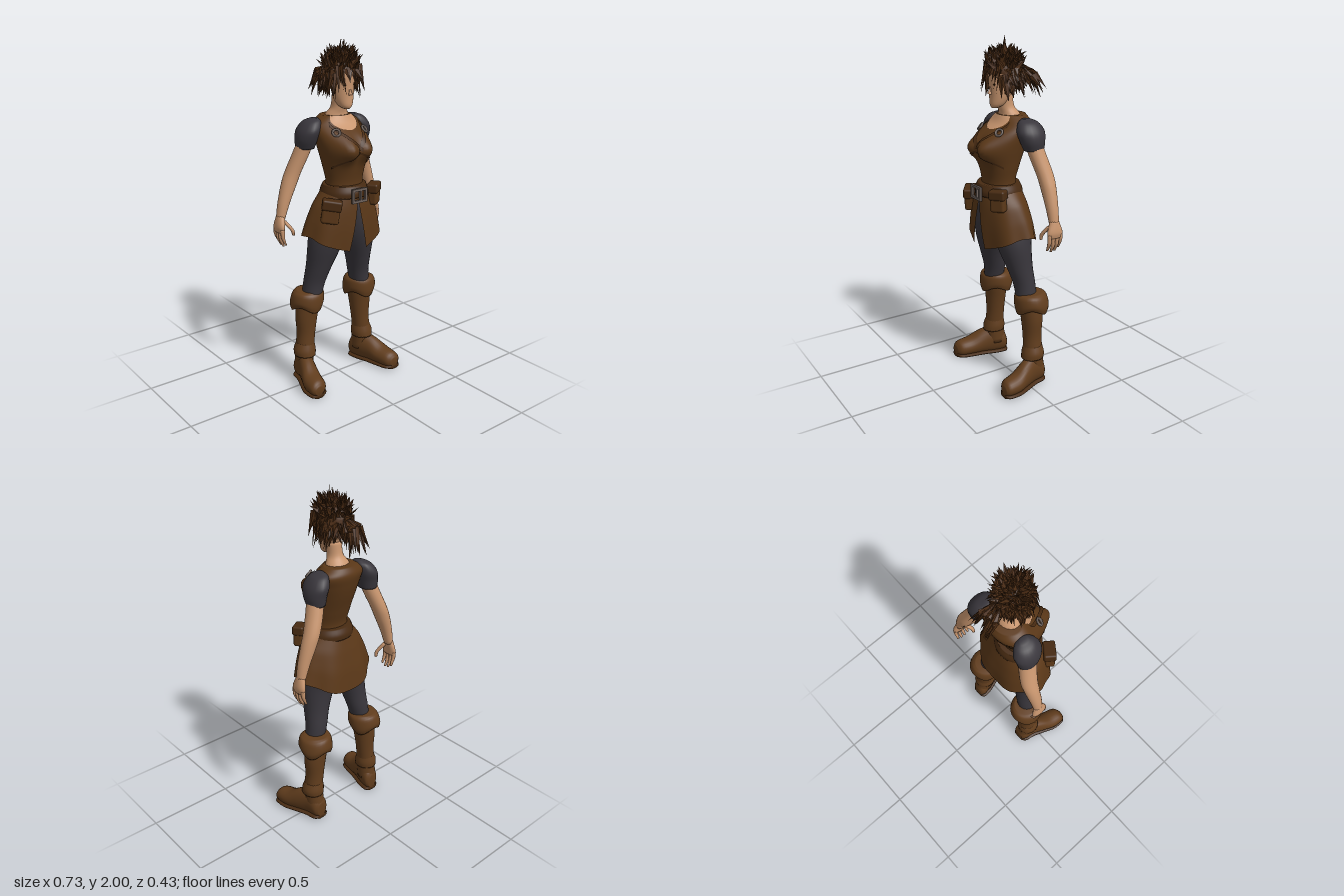
import * as THREE from 'three';
import { mergeGeometries } from 'three/addons/utils/BufferGeometryUtils.js';
import { RoundedBoxGeometry } from 'three/addons/geometries/RoundedBoxGeometry.js';

const V = (x, y, z) => new THREE.Vector3(x, y, z);
const material = (name, color, side = THREE.FrontSide) => {
  const m = new THREE.MeshStandardMaterial({ color, side });
  m.name = name;
  return m;
};

// Grid surface from a rule (u, v) -> point; closed wraps u, caps fill both ends
function surface(fn, nu, nv, closed = false, caps = false) {
  const pos = [], idx = [], cols = closed ? nu : nu + 1;
  for (let i = 0; i <= nv; i++)
    for (let j = 0; j < cols; j++) pos.push(...fn(j / nu, i / nv).toArray());
  for (let i = 0; i < nv; i++)
    for (let j = 0; j < nu; j++) {
      const k = (j + 1) % cols, a = i * cols + j, b = i * cols + k;
      idx.push(a, a + cols, b, b, a + cols, b + cols);
    }
  if (caps) for (const end of [0, nv]) {
    const mid = V(0, 0, 0), c = pos.length / 3;
    for (let j = 0; j < cols; j++) mid.add(fn(j / nu, end / nv));
    pos.push(...mid.divideScalar(cols).toArray());
    for (let j = 0; j < cols; j++) {
      const a = end * cols + j, b = end * cols + (j + 1) % cols;
      idx.push(...(end ? [c, b, a] : [c, a, b]));
    }
  }
  const g = new THREE.BufferGeometry();
  g.setAttribute('position', new THREE.Float32BufferAttribute(pos, 3));
  g.setIndex(idx);
  g.computeVertexNormals();
  return g;
}

// Smooth rule through elliptical sections [cx, cy, cz, rx, rDepth]
function sectionRule(sections, side = 1, alongZ = false) {
  const mid = new THREE.CatmullRomCurve3(sections.map(s => V(s[0] * side, s[1], s[2])), false, 'catmullrom', 0.5);
  const rad = new THREE.CatmullRomCurve3(sections.map(s => V(s[3], s[4], 0)), false, 'catmullrom', 0.5);
  return (u, v) => {
    const p = mid.getPoint(v), r = rad.getPoint(v), a = u * Math.PI * 2;
    p.x += r.x * Math.cos(a);
    if (alongZ) p.y = Math.max(0, p.y + r.y * Math.sin(a));
    else p.z += r.y * Math.sin(a);
    return p;
  };
}
const loft = (sections, side = 1, nu = 20, alongZ = false) =>
  surface(sectionRule(sections, side, alongZ), nu, sections.length * 4, true, true);

export function createModel() {
  const model = new THREE.Group();
  const leather = material('leather', 0x5b3818, THREE.DoubleSide);
  const darkLeather = material('dark leather', 0x482b12, THREE.DoubleSide);
  const bootLeather = material('boot leather', 0x613d1d);
  const cloth = material('dark cloth', 0x39363c);
  const skin = material('skin', 0xc9966f, THREE.DoubleSide);
  const hair = material('hair', 0x4a2b13);
  const metal = material('metal', 0x6e625c);
  const add = (name, geo, mat, parent = model) => {
    const m = new THREE.Mesh(geo, mat);
    m.name = name;
    parent.add(m);
    return m;
  };

  // Vest body with a shaped chest
  const body = sectionRule([
    [0, 1.1, 0.045, 0.13, 0.115], [0, 1.2, 0.05, 0.11, 0.09], [0, 1.3, 0.045, 0.125, 0.11],
    [0, 1.4, 0.035, 0.145, 0.135], [0, 1.47, 0.01, 0.155, 0.13], [0, 1.53, -0.03, 0.15, 0.1],
    [0, 1.575, -0.035, 0.09, 0.075]]);
  const torso = (u, v) => {
    const p = body(u, v);
    if (p.z > 0.04) p.z += 0.055 *
      Math.exp(-(((Math.abs(p.x) - 0.065) / 0.055) ** 2) - ((p.y - 1.4) / 0.065) ** 2);
    return p;
  };
  add('vest', surface(torso, 48, 40, true, true), leather);
  // Point on the vest at an angle from the front and a height, pushed outward
  const onTorso = (angle, y, off) => {
    const u = 0.25 - angle / (Math.PI * 2);
    let lo = 0, hi = 1;
    for (let i = 0; i < 22; i++) {
      const m = (lo + hi) / 2;
      if (body(0, m).y < y) lo = m; else hi = m;
    }
    const p = torso(u, lo);
    return p.add(V(Math.sin(angle), 0.3, Math.cos(angle)).multiplyScalar(off));
  };
  add('neckline', surface((u, v) => onTorso((0.5 - u) * 1.7 * Math.sqrt(v), 1.5 + 0.074 * v, 0.005), 16, 10), skin);
  const strap = (a0, y0, a1, y1, w) => surface((u, v) =>
    onTorso(a0 + (a1 - a0) * v, y0 + (y1 - y0) * v + (u - 0.5) * w, 0.007), 2, 14);
  for (const s of [-1, 1]) {
    add('chestStrap', strap(s * 0.75, 1.535, -s * 0.1, 1.4, 0.026), darkLeather);
    add('vestSeam', strap(0, 1.385, s * 1.2, 1.3, 0.012), darkLeather);
    const ring = add('strapBuckle', new THREE.TorusGeometry(0.02, 0.007, 6, 16), metal);
    ring.position.copy(onTorso(s * 0.62, 1.495, 0.012));
    ring.rotation.set(-0.7, s * 0.4, 0);
  }

  // Split skirt: opens at the front and dips at the front and back
  const skirtRings = new THREE.CatmullRomCurve3([
    V(0.122, 0.118, 0.05), V(0.19, 0.14, 0.04), V(0.225, 0.155, 0.03), V(0.25, 0.162, 0.022)]);
  add('skirt', surface((u, v) => {
    const gap = 0.02 + 0.27 * Math.max(0, v - 0.2);
    const a = gap + u * (Math.PI * 2 - 2 * gap), r = skirtRings.getPoint(v);
    const fold = 1 + 0.035 * v * Math.cos(a * 7);
    const hem = 0.83 + 0.09 * Math.sin(a) ** 2;
    return V(Math.sin(a) * r.x * fold, 1.18 + (hem - 1.18) * v, r.z + Math.cos(a) * r.y * fold);
  }, 72, 16), leather);

  // Belt, buckle and pouches
  add('belt', loft([[0, 1.135, 0.05, 0.143, 0.132], [0, 1.165, 0.05, 0.138, 0.131],
    [0, 1.2, 0.05, 0.124, 0.115]], 1, 36), darkLeather);
  for (const [w, h, x, y] of [[0.1, 0.014, 0, 0.033], [0.1, 0.014, 0, -0.033], [0.014, 0.08, 0.044, 0],
    [0.014, 0.08, -0.044, 0], [0.01, 0.06, 0.008, 0]])
    add('beltBuckle', new THREE.BoxGeometry(w, h, 0.014), metal).position.set(x - 0.005, 1.152 + y, 0.192);
  const pouch = (x, y, z, w, h, d, turn, lean) => {
    const g = new THREE.Group();
    g.name = 'pouch';
    add('pouchBody', new RoundedBoxGeometry(w, h, d, 3, 0.015), leather, g);
    add('pouchFlap', new RoundedBoxGeometry(w + 0.01, h * 0.45, d + 0.012, 3, 0.012), darkLeather, g)
      .position.y = h * 0.3;
    g.position.set(x, y, z);
    g.rotation.set(0, turn, lean);
    model.add(g);
  };
  pouch(-0.162, 1.075, 0.14, 0.1, 0.13, 0.06, -0.65, -0.15);
  pouch(0.143, 1.13, 0.14, 0.085, 0.12, 0.055, 0.6, 0.05);

  // Neck and head
  add('neck', loft([[0, 1.53, -0.025, 0.095, 0.07], [0, 1.58, -0.018, 0.066, 0.056],
    [0, 1.62, 0, 0.044, 0.046], [0, 1.69, 0.012, 0.043, 0.046]]), skin);
  add('head', loft([[0, 1.615, 0.07, 0.018, 0.02], [0, 1.635, 0.055, 0.04, 0.043], [0, 1.68, 0.04, 0.056, 0.058],
    [0, 1.74, 0.03, 0.063, 0.07], [0, 1.82, 0.02, 0.068, 0.08], [0, 1.89, 0.015, 0.04, 0.05]], 1, 28), skin);
  const nose = add('nose', new THREE.ConeGeometry(0.014, 0.05, 5), skin);
  nose.position.set(0, 1.715, 0.1);
  nose.rotation.x = -0.2;
  for (const s of [-1, 1]) {
    const eye = add('eye', new THREE.SphereGeometry(0.011, 10, 6), darkLeather);
    eye.scale.set(1, 0.4, 0.35);
    eye.position.set(s * 0.027, 1.744, 0.092);
  }

  // Spiky hair
  let seed = 7;
  const rnd = () => (seed = (seed * 16807) % 2147483647) / 2147483647;
  const jit = a => (rnd() - 0.5) * 2 * a;
  const spikes = [];
  const spike = (from, to, r) => {
    const d = to.clone().sub(from), len = d.length();
    const g = new THREE.ConeGeometry(r, len, 4).translate(0, len / 2, 0).scale(1, 1, 0.4).rotateY(rnd() * 6);
    g.applyQuaternion(new THREE.Quaternion().setFromUnitVectors(V(0, 1, 0), d.normalize()));
    spikes.push(g.translate(from.x, from.y, from.z));
  };
  for (let i = 0; i < 330; i++) {
    const y = 1 - 1.55 * (i + 0.5) / 330, r = Math.sqrt(1 - y * y), a = i * 2.39996;
    const n = V(Math.cos(a) * r, y, Math.sin(a) * r);
    if (n.z > 0.3 && y < 0.2) continue;
    const p = V(n.x * 0.084, 1.8 + n.y * 0.1, 0.012 + n.z * 0.094);
    const d = V(n.x * 0.45 + jit(0.4), y > 0.3 ? 0.7 + jit(0.4) : -1, n.z * 0.45 + jit(0.4));
    spike(p, p.clone().addScaledVector(d.normalize(), 0.045 + rnd() * 0.035), 0.014 + rnd() * 0.01);
  }
  // Side locks, fringe, top tuft and ponytail
  for (let i = 0; i < 12; i++) for (const s of [-1, 1]) {
    const z = 0.08 - i * 0.011;
    spike(V(s * 0.075, 1.8 + jit(0.03), z), V(s * (0.095 + jit(0.025)), 1.68 + jit(0.025), z + jit(0.02)), 0.02);
  }
  for (let i = 0; i < 9; i++) {
    const x = (i - 4) * 0.018;
    spike(V(x, 1.85, 0.085), V(x * 1.3 + jit(0.01), 1.79 - Math.abs(x) * 1.2, 0.115 + jit(0.015)), 0.018);
  }
  spike(V(-0.045, 1.82, 0.095), V(-0.03, 1.68, 0.11), 0.014);
  for (let i = 0; i < 6; i++)
    spike(V(jit(0.025), 1.88, 0.02 + jit(0.025)), V(0.01 + jit(0.012), i ? 1.94 + rnd() * 0.05 : 2, 0.02 + jit(0.015)), 0.018);
  for (let i = 0; i < 18; i++) {
    const x = jit(0.07), knot = V(x * 0.3, 1.83 + jit(0.02), -0.085);
    const bend = V(x * 0.7, 1.79 + jit(0.02), -0.15 + jit(0.015));
    spike(bend, knot, 0.016);
    spike(bend, V(x + 0.015, 1.68 + jit(0.03), -0.2 + jit(0.02)), 0.017);
  }
  const spikyHair = mergeGeometries(spikes).toNonIndexed();
  spikyHair.computeVertexNormals();
  add('hairLocks', spikyHair, hair);
  const cap = add('hairCap', new THREE.SphereGeometry(1, 20, 12, 0, Math.PI * 2, 0, Math.PI * 0.55), hair);
  cap.scale.set(0.088, 0.104, 0.1);
  cap.position.set(0, 1.8, 0.008);
  cap.rotation.x = -0.3;

  // Arms, hands, legs and boots on both sides
  for (const s of [-1, 1]) {
    add('sleeve', loft([[0.187, 1.4, -0.06, 0.05, 0.058], [0.185, 1.45, -0.052, 0.059, 0.073],
      [0.173, 1.5, -0.048, 0.06, 0.082], [0.152, 1.545, -0.045, 0.046, 0.06], [0.135, 1.565, -0.04, 0.015, 0.025]], s), cloth);
    add('arm', loft([[0.332, 1.01, -0.1, 0.025, 0.028], [0.308, 1.1, -0.1, 0.035, 0.035], [0.272, 1.2, -0.1, 0.045, 0.043],
      [0.245, 1.27, -0.095, 0.046, 0.048], [0.21, 1.36, -0.075, 0.047, 0.05], [0.185, 1.44, -0.055, 0.045, 0.05]], s), skin);
    add('palm', loft([[0.343, 0.935, -0.098, 0.015, 0.044], [0.343, 0.97, -0.098, 0.021, 0.048],
      [0.332, 1.03, -0.1, 0.022, 0.027]], s, 14), skin);
    for (let f = 0; f < 4; f++) {
      const z = -0.062 - f * 0.024, tip = 0.85 + [0.012, 0, 0.004, 0.02][f];
      add('finger', loft([[0.325, tip, z, 0.006, 0.007], [0.343, tip + 0.045, z, 0.011, 0.011],
        [0.345, 0.955, z, 0.013, 0.012]], s, 8), skin);
    }
    add('thumb', loft([[0.28, 0.915, -0.05, 0.007, 0.008], [0.29, 0.95, -0.052, 0.012, 0.012],
      [0.325, 1.0, -0.08, 0.016, 0.016]], s, 8), skin);

    add('trouserLeg', loft([[0.18, 0.53, -0.025, 0.056, 0.06], [0.162, 0.62, -0.02, 0.064, 0.064],
      [0.143, 0.72, 0, 0.075, 0.076], [0.115, 0.85, 0.02, 0.098, 0.1], [0.095, 0.95, 0.02, 0.098, 0.118],
      [0.07, 1.07, 0.03, 0.075, 0.1]], s, 24), cloth);
    add('bootShaft', loft([[0.215, 0.08, -0.06, 0.052, 0.062], [0.215, 0.2, -0.05, 0.054, 0.058],
      [0.205, 0.3, -0.05, 0.055, 0.055], [0.2, 0.4, -0.05, 0.066, 0.061], [0.19, 0.48, -0.048, 0.07, 0.066],
      [0.185, 0.54, -0.045, 0.066, 0.064]], s, 24), bootLeather);
    const cuff = sectionRule([[0.195, 0.465, -0.05, 0.09, 0.092], [0.195, 0.5, -0.05, 0.1, 0.1],
      [0.19, 0.55, -0.046, 0.092, 0.092], [0.185, 0.57, -0.045, 0.068, 0.07]], s);
    add('bootCuff', surface((u, v) => {
      const p = cuff(u, v);
      p.y -= 0.018 * (1 - v) * Math.cos((u - 0.25) * Math.PI * 6);
      return p;
    }, 30, 12, true, true), bootLeather);
    add('ankleFlap', loft([[0.218, 0.165, -0.045, 0.062, 0.068], [0.217, 0.2, -0.048, 0.064, 0.066],
      [0.212, 0.245, -0.05, 0.052, 0.055]], s), bootLeather);
    const foot = [[0.285, 0.045, 0.195, 0.028, 0.025], [0.279, 0.052, 0.17, 0.053, 0.047], [0.268, 0.06, 0.1, 0.062, 0.057],
      [0.247, 0.08, 0.03, 0.056, 0.078], [0.222, 0.09, -0.04, 0.053, 0.09], [0.212, 0.075, -0.1, 0.05, 0.07],
      [0.21, 0.06, -0.122, 0.03, 0.045]];
    add('bootFoot', loft(foot, s, 24, true), bootLeather);
    add('bootSole', loft(foot.map(([x, , z, r]) => [x, 0.013, z, r + 0.004, 0.014]), s, 16, true), darkLeather);
  }
  return model;
}
